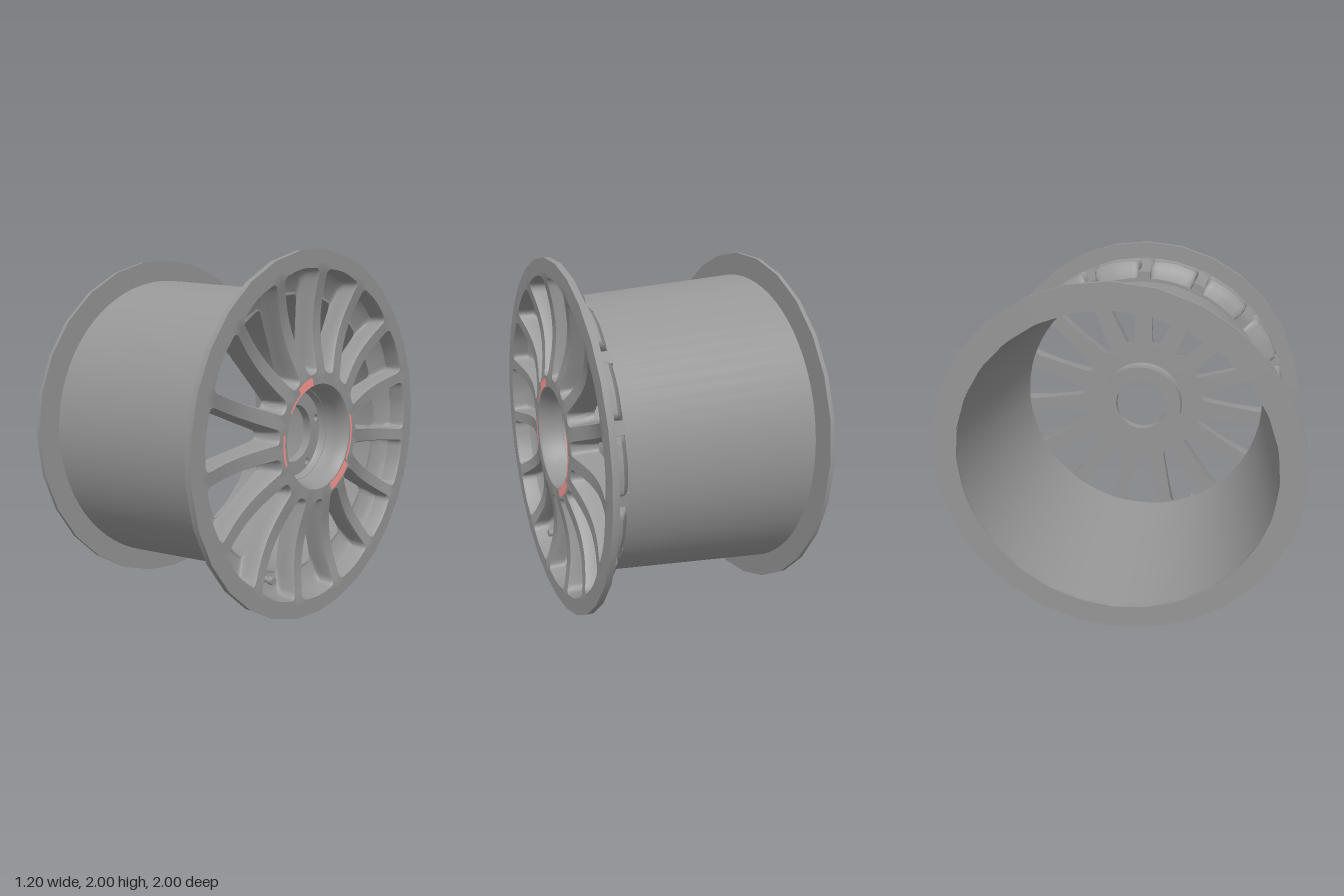
import * as THREE from 'three';
import { mergeGeometries, toCreasedNormals } from 'three/addons/utils/BufferGeometryUtils.js';

const SPOKES = 15;
const STEP = (Math.PI * 2) / SPOKES;
const HUB_R = 0.29;
const RIM_R = 0.93;
const FRONT = 0.6;
const metal = new THREE.MeshStandardMaterial({ color: 0x969696, side: THREE.DoubleSide });
const red = new THREE.MeshStandardMaterial({ color: 0xff9892, side: THREE.DoubleSide });

// The wheel is built with its axle on z, then turned so that its face looks along +x
function add(group, name, geometry, material = metal) {
  const mesh = new THREE.Mesh(geometry, material);
  mesh.name = name;
  group.add(mesh);
}

// Turned part from [radius, z] points
function turned(profile, segments, crease = 0.5) {
  const pts = profile.map(([r, z]) => new THREE.Vector2(r, z));
  const g = new THREE.LatheGeometry(pts, segments);
  g.rotateX(Math.PI / 2);
  return toCreasedNormals(g, crease);
}

function circle(r, n, cx = 0, cy = 0) {
  return Array.from({ length: n }, (_, i) => {
    const a = (i / n) * Math.PI * 2;
    return new THREE.Vector2(cx + r * Math.cos(a), cy + r * Math.sin(a));
  });
}

// How far the spoke face dips below the rim at a radius
function dish(r) {
  const t = THREE.MathUtils.clamp((r - 0.36) / 0.54, 0, 1);
  return 0.04 * Math.sin(Math.PI * t) + 0.01 * (1 - t);
}

// Wedge along +y with rounded or sharp corners, always with the same number of points
function wedge(corners, fillet, sharp, bulge) {
  const edgeSteps = [1, 8, 4, 8];
  const pts = [];
  corners.forEach((c, i) => {
    const j = (i + 1) % 4;
    const next = corners[j];
    const prev = corners[(i + 3) % 4];
    const start = c.clone().add(prev.clone().sub(c).setLength(fillet[i]));
    const end = c.clone().add(next.clone().sub(c).setLength(fillet[i]));
    const nextStart = next.clone().add(c.clone().sub(next).setLength(fillet[j]));
    if (sharp) pts.push(start, start.clone().lerp(c, 0.5), c.clone(), c.clone().lerp(end, 0.5), end);
    else pts.push(...new THREE.QuadraticBezierCurve(start, c, end).getPoints(4));
    for (let k = 1; k < edgeSteps[i]; k++) {
      const p = end.clone().lerp(nextStart, k / edgeSteps[i]);
      if (i === 2) p.y += bulge * Math.sin((Math.PI * k) / edgeSteps[i]);
      pts.push(p);
    }
  });
  return pts;
}

// Window sections from front to back: z, inner radius, half width, outer radius, half width
const SECTIONS = [
  [FRONT, 0.35, 0.036, 0.908, 0.157],
  [FRONT - 0.015, 0.36, 0.03, 0.902, 0.152],
  [0.505, 0.372, 0.026, 0.9, 0.152],
  [0.475, 0.38, 0.024, 0.87, 0.147],
  [0.45, 0.39, 0.022, 0.785, 0.122],
];

function windowOutline([, rIn, hIn, rOut, hOut]) {
  const corners = [[-hIn, rIn], [hIn, rIn], [hOut, rOut - 0.015], [-hOut, rOut - 0.015]]
    .map(([x, y]) => new THREE.Vector2(x, y));
  return wedge(corners, [hIn * 0.8, hIn * 0.8, 0.05, 0.05], false, 0.012);
}

// Border of one sector of the face: hub arc, two spoke centre lines, rim arc
function sectorOutline() {
  const s = Math.sin(STEP / 2);
  const c = Math.cos(STEP / 2);
  const corners = [[-HUB_R, HUB_R], [HUB_R, HUB_R], [RIM_R, RIM_R], [-RIM_R, RIM_R]]
    .map(([x, y]) => new THREE.Vector2(x * s, y * c));
  const pts = wedge(corners, [0.04, 0.04, 0.06, 0.06], true, 0);
  // Bend the hub and rim edges into arcs
  pts.forEach((p) => {
    if (p.y < HUB_R * c + 1e-6) p.setLength(HUB_R);
    else if (p.y > RIM_R * c - 1e-6) p.setLength(RIM_R);
  });
  return pts;
}

// One sector: spoke faces around a window, then the walls of its pocket
function sectorGeometry() {
  const pos = [];
  const index = [];
  const rings = [[FRONT, sectorOutline()], ...SECTIONS.map((s) => [s[0], windowOutline(s)])];
  const n = rings[0][1].length;
  rings.forEach(([z, ring], k) => {
    ring.forEach((p) => pos.push(p.x, p.y, z - (k < 3 ? dish(p.length()) : 0)));
  });
  for (let k = 0; k < rings.length - 1; k++) {
    for (let i = 0; i < n; i++) {
      const a = k * n + i;
      const b = k * n + ((i + 1) % n);
      index.push(a, b, a + n, b, b + n, a + n);
    }
  }
  const g = new THREE.BufferGeometry();
  g.setAttribute('position', new THREE.Float32BufferAttribute(pos, 3));
  g.setIndex(index);
  return g;
}

// Disc with holes, given thickness
function plate(outer, holes, depth, z) {
  const shape = new THREE.Shape(outer);
  shape.holes = holes.map((h) => new THREE.Path(h));
  const g = new THREE.ExtrudeGeometry(shape, { depth, bevelEnabled: false });
  g.translate(0, 0, z);
  return toCreasedNormals(g, 0.5);
}

export function createModel() {
  const model = new THREE.Group();
  model.name = 'wheel';
  const wheel = new THREE.Group();
  wheel.name = 'wheelBody';
  wheel.position.y = 1;
  wheel.rotation.y = Math.PI / 2;
  model.add(wheel);
  const angles = Array.from({ length: SPOKES }, (_, i) => (i + 0.5) * STEP);

  // Tapered barrel and the two flanges
  add(wheel, 'barrel', turned([
    [0.86, -0.595], [0.875, -0.595], [0.78, 0.452], [0.768, 0.452], [0.86, -0.595],
  ], 72));
  add(wheel, 'rearFlange', turned([
    [0.862, -0.6], [1, -0.6], [1, -0.575], [0.862, -0.575], [0.862, -0.6],
  ], 28, 0.3));
  add(wheel, 'frontFlange', turned([
    [0.905, 0.565], [0.997, 0.565], [0.997, FRONT], [0.926, FRONT],
  ], 30, 0.3));

  // Spoke faces and pockets, whose walls show as bumps behind the flange
  const sector = sectorGeometry();
  const sectors = angles.map((a) => sector.clone().rotateZ(a));
  add(wheel, 'spokesAndPockets', toCreasedNormals(mergeGeometries(sectors), 0.75));

  // Back of the spokes, and the feet joining them to the barrel
  const openings = angles.map((a) => windowOutline(SECTIONS[4])
    .map((p) => p.rotateAround(new THREE.Vector2(), a)));
  add(wheel, 'spokeBacks', plate(circle(0.8, 60), [circle(0.256, 40), ...openings], 0.004, 0.448));
  for (let i = 0; i < SPOKES; i++) {
    const foot = new THREE.BoxGeometry(0.07, 0.065, 0.11);
    foot.translate(0, 0.805, 0.512);
    foot.rotateZ(i * STEP);
    add(wheel, 'spokeFoot', foot);
  }

  // Deep hub recess with a centre bore and five blind bolt holes
  add(wheel, 'hubRecess', turned([
    [HUB_R, FRONT - 0.01], [0.28, 0.58], [0.265, 0.52], [0.256, 0.43], [0.245, 0.41],
  ], 75, 0.8));
  const bolts = Array.from({ length: 5 }, (_, i) => {
    const a = Math.PI / 2 + (i * Math.PI * 2) / 5;
    return circle(0.02, 12, 0.22 * Math.cos(a), 0.22 * Math.sin(a));
  });
  add(wheel, 'hubPlate', plate(circle(0.256, 40), [circle(0.163, 36), ...bolts], 0.04, 0.37));
  add(wheel, 'hubBacking', plate(circle(0.256, 40), [circle(0.163, 36)], 0.01, 0.36));

  // Painted arcs on the hub surround: inner radius, outer radius, start and end in degrees
  [[0.293, 0.338, 104, 126], [0.293, 0.338, 290, 325], [0.296, 0.308, 126, 150],
    [0.31, 0.326, 172, 202], [0.296, 0.312, 328, 378]].forEach(([r0, r1, from, to]) => {
    const start = THREE.MathUtils.degToRad(from);
    const arc = new THREE.RingGeometry(r0, r1, 16, 1, start, THREE.MathUtils.degToRad(to) - start);
    arc.translate(0, 0, FRONT - 0.007);
    add(wheel, 'paintedArc', arc, red);
  });

  // Tyre valve: base nut, stem and cap
  const valve = new THREE.Group();
  valve.name = 'valve';
  valve.position.set(-0.335, -0.74, 0.46);
  wheel.add(valve);
  [[0.03, 0.03, 6, 0], [0.016, 0.06, 12, 0.03], [0.022, 0.03, 10, 0.07]].forEach(([r, h, n, z], i) => {
    const g = new THREE.CylinderGeometry(r, r, h, n);
    g.rotateX(Math.PI / 2);
    g.translate(0, 0, z);
    add(valve, ['valveNut', 'valveStem', 'valveCap'][i], g);
  });

  return model;
}
